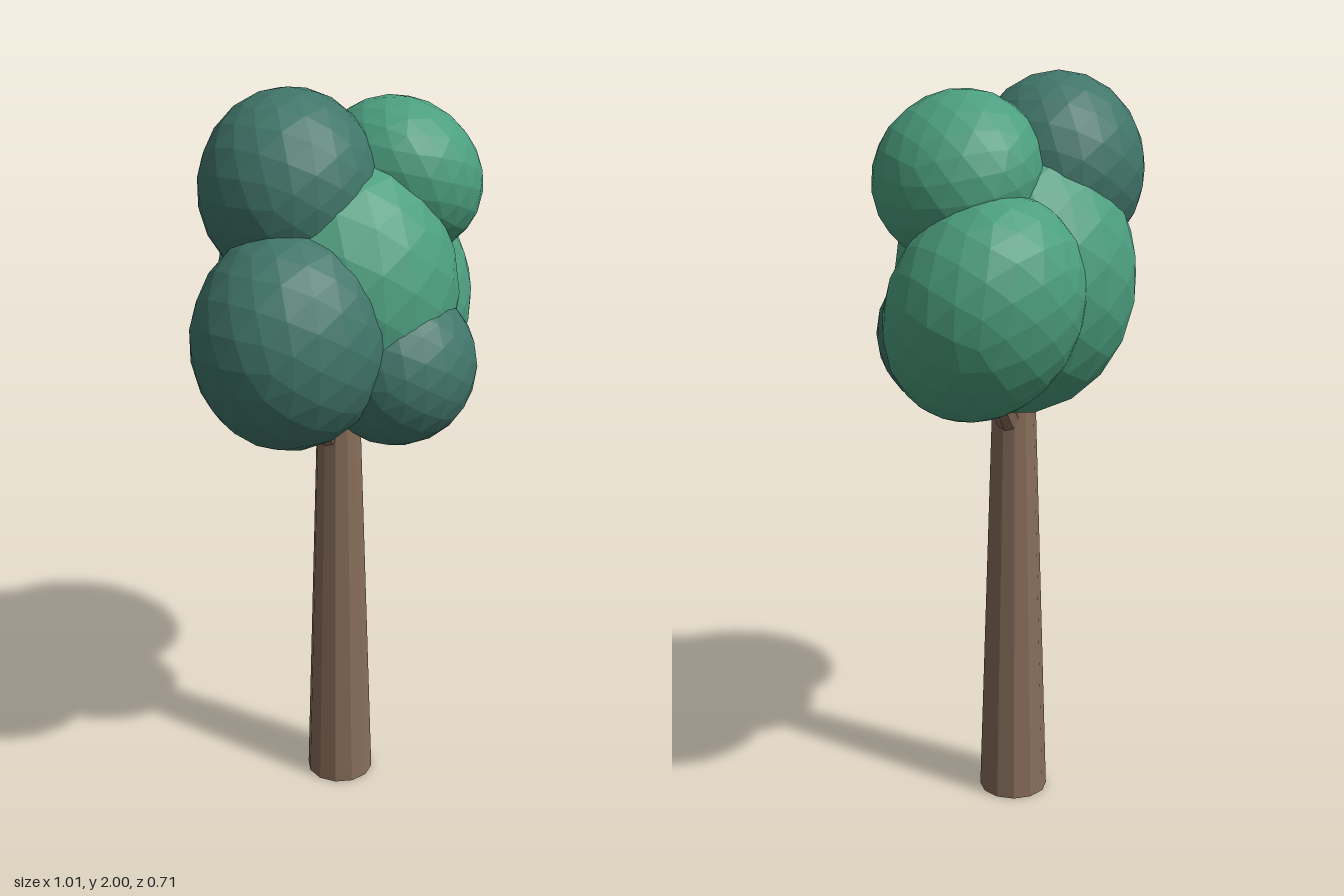
import * as THREE from 'three';

const leafLight = new THREE.MeshStandardMaterial({ color: 0x4c9f80, flatShading: true, name: 'light leaf green' });
const leafDark = new THREE.MeshStandardMaterial({ color: 0x41766a, flatShading: true, name: 'dark leaf green' });
const bark = new THREE.MeshStandardMaterial({ color: 0x876d5a, flatShading: true, name: 'bark brown' });

// Faceted ellipsoid clump of leaves
function clump(name, material, position, radii, rotation = [0, 0, 0]) {
  const mesh = new THREE.Mesh(new THREE.IcosahedronGeometry(1, 3), material);
  mesh.name = name;
  mesh.position.set(...position);
  mesh.scale.set(...radii);
  mesh.rotation.set(...rotation);
  return mesh;
}

// Tapered limb between two points
function limb(name, from, to, r0, r1, sides) {
  const a = new THREE.Vector3(...from), b = new THREE.Vector3(...to);
  const dir = b.clone().sub(a);
  const mesh = new THREE.Mesh(new THREE.CylinderGeometry(r1, r0, dir.length(), sides), bark);
  mesh.name = name;
  mesh.position.copy(a).add(b).multiplyScalar(0.5);
  mesh.quaternion.setFromUnitVectors(new THREE.Vector3(0, 1, 0), dir.normalize());
  return mesh;
}

export function createModel() {
  const tree = new THREE.Group();
  tree.name = 'tree';

  // Trunk, with two branches forking into the crown
  const trunk = new THREE.Mesh(new THREE.CylinderGeometry(0.055, 0.095, 1.25, 12), bark);
  trunk.name = 'trunk';
  trunk.position.set(-0.008, 0.625, -0.033);
  tree.add(trunk);
  tree.add(limb('rightBranch', [-0.01, 1.04, -0.035], [-0.22, 1.28, -0.02], 0.035, 0.025, 8));
  tree.add(limb('leftBranch', [0, 1.06, -0.035], [0.18, 1.28, -0.05], 0.035, 0.025, 8));

  // Crown
  const crown = new THREE.Group();
  crown.name = 'crown';
  crown.add(
    clump('centreLeaves', leafLight, [-0.01, 1.48, -0.035], [0.305, 0.37, 0.322]),
    clump('leftLeaves', leafLight, [0.23, 1.43, -0.08], [0.275, 0.299, 0.239], [-0.42, 0, 0]),
    clump('upperLeftLeaves', leafLight, [0.175, 1.75, 0.03], [0.227, 0.192, 0.217], [0, 0, -Math.PI / 4]),
    clump('topLeaves', leafDark, [-0.113, 1.75, -0.105], [0.236, 0.25, 0.226]),
    clump('rightLeaves', leafDark, [-0.24, 1.41, 0], [0.267, 0.283, 0.242]),
    clump('frontLeaves', leafDark, [0, 1.31, 0.15], [0.213, 0.212, 0.206]),
  );
  tree.add(crown);
  return tree;
}
